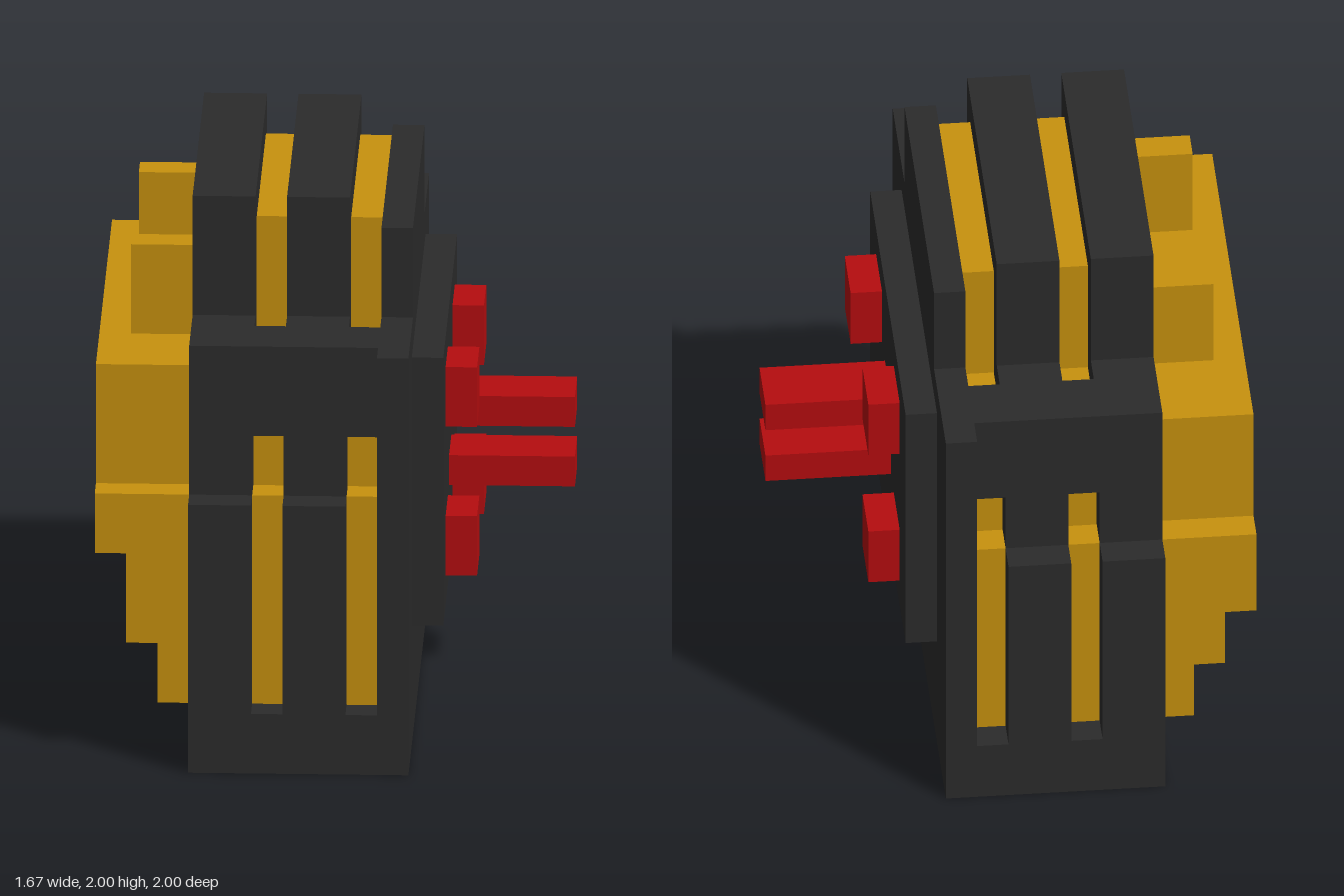
import * as THREE from 'three';

const U = 1 / 9;      // module unit
const CX = 7.5;       // x centre in units

const black = new THREE.MeshStandardMaterial({ color: 0x2b2b2b });
black.name = 'charcoal black';
const yellow = new THREE.MeshStandardMaterial({ color: 0xc8920e });
yellow.name = 'amber yellow';
const red = new THREE.MeshStandardMaterial({ color: 0xb50d0f });
red.name = 'signal red';

export function createModel() {
  const model = new THREE.Group();
  model.name = 'plugModule';

  const add = (name, geo, mat) => {
    geo.translate(-CX, 0, 0);
    geo.scale(U, U, U);
    const mesh = new THREE.Mesh(geo, mat);
    mesh.name = name;
    model.add(mesh);
  };

  // Box given by its limits in units
  const box = (name, mat, x0, x1, y0, y1, z0, z1) => {
    const g = new THREE.BoxGeometry(x1 - x0, y1 - y0, z1 - z0);
    g.translate((x0 + x1) / 2, (y0 + y1) / 2, (z0 + z1) / 2);
    add(name, g, mat);
  };
  const pair = (name, mat, x0, x1, y0, y1, z0, z1) => {
    box(name + 'Front', mat, x0, x1, y0, y1, z0, z1);
    box(name + 'Back', mat, x0, x1, y0, y1, -z1, -z0);
  };

  // Symmetric (z, y) outline from its right half, bottom to top
  const mirrored = (half) => [...half, ...half.map(([z, y]) => [-z, y]).reverse()]
    .map(([z, y]) => new THREE.Vector2(z, y));
  const slice = (name, mat, x0, x1, points, holes = []) => {
    const shape = new THREE.Shape(points);
    holes.forEach((h) => shape.holes.push(new THREE.Path(h)));
    const g = new THREE.ExtrudeGeometry(shape, { depth: x1 - x0, bevelEnabled: false });
    g.rotateY(Math.PI / 2);
    g.translate(x0, 0, 0);
    add(name, g, mat);
  };

  const shellOuter = [[9, 0], [9, 9], [8, 9], [8, 14], [5, 14], [5, 18]];
  const linerOuter = [[8, 1], [8, 9], [7, 9], [7, 13], [4, 13], [4, 17]];
  const lowerCavity = mirrored([[7, 2], [7, 8], [6, 8], [6, 12]]);
  const upperCavity = mirrored([[3, 13], [3, 16]]);

  // Black shell: closed rear rib, then a rib open at the bottom
  slice('rearShellRib', black, 3, 5, mirrored(shellOuter), [mirrored(linerOuter)]);
  slice('middleShellRib', black, 6, 8, [
    ...mirrored([[7, 0], ...shellOuter]),
    ...mirrored([[7, 1], ...linerOuter]).reverse(),
  ]);

  // Grooves between the ribs, leaving the liner visible
  for (const x of [5, 8]) {
    pair('grooveFoot', black, x, x + 1, 0, 1, 7, 9);
    pair('grooveSill', black, x, x + 1, 1, 2, 8, 9);
    pair('grooveBridge', black, x, x + 1, 11, 14, 7, 8);
    pair('grooveDeck', black, x, x + 1, 13, 14, 6, 7);
  }

  // Side wall with the raised contact panel
  slice('sideWall', black, 9, 10, mirrored([[9, 0], [9, 14], [5, 14], [5, 17]]));
  box('contactPanel', black, 10, 11, 4, 13, -6, 6);

  // Yellow liner inside the shell
  slice('liner', yellow, 3, 8, mirrored(linerOuter), [lowerCavity, upperCavity]);
  slice('linerEnd', yellow, 8, 9, mirrored(linerOuter));
  slice('cavityBackPlate', black, 7.93, 8, lowerCavity);

  // Yellow collar standing out of the open side
  box('collarTop', yellow, 0, 3, 12, 13, -7, 7);
  pair('collarUpperWall', yellow, 0, 3, 8, 12, 6, 7);
  pair('collarPost', yellow, 1, 3, 13, 16, 3, 4);
  for (const [name, z, low] of [['Front', 7, 7], ['Back', -8, 6]]) {
    const steps = [[3, 2], [3, 9], [0, 9], [0, low], [1, low], [1, 4], [2, 4], [2, 2]];
    const g = new THREE.ExtrudeGeometry(
      new THREE.Shape(steps.map(([x, y]) => new THREE.Vector2(x, y))),
      { depth: 1, bevelEnabled: false });
    g.translate(0, 0, z);
    add('collarSteppedWall' + name, g, yellow);
  }

  // Red studs and prongs
  for (const y of [5, 10]) pair('stud', red, 11, 12, y, y + 2, 2, 4);
  for (const y of [7, 9]) box('prong', red, 11, 15, y, y + 1, -1, 1);

  return model;
}
